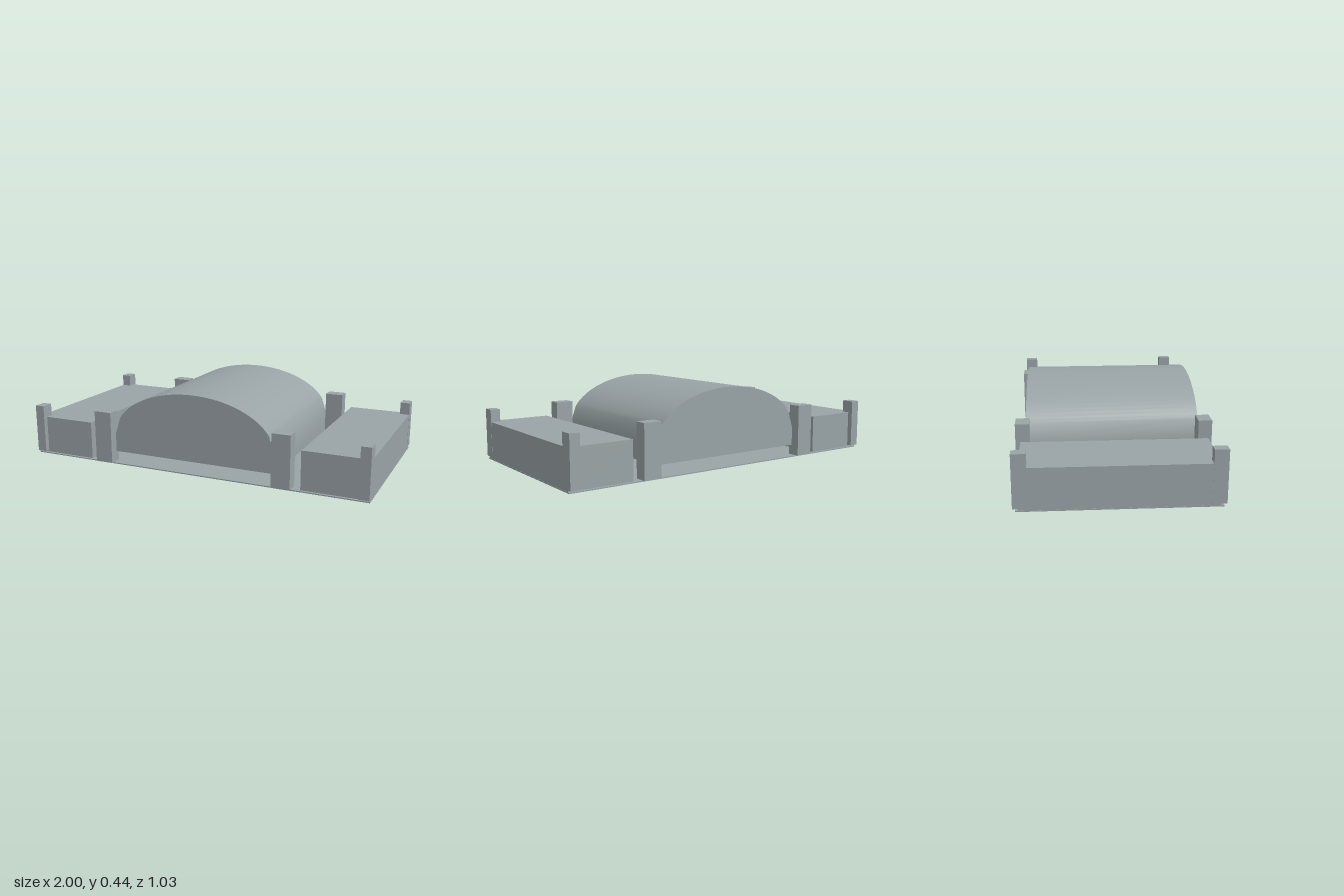
import * as THREE from 'three';
import { toCreasedNormals } from 'three/addons/utils/BufferGeometryUtils.js';

export function createModel() {
  const model = new THREE.Group();
  const grey = new THREE.MeshStandardMaterial({ color: 0x99a3a6 });
  grey.name = 'grey';

  // Box given by its min and max on each axis
  function box(name, [x0, x1], [y0, y1], [z0, z1]) {
    const mesh = new THREE.Mesh(new THREE.BoxGeometry(x1 - x0, y1 - y0, z1 - z0), grey);
    mesh.position.set((x0 + x1) / 2, (y0 + y1) / 2, (z0 + z1) / 2);
    mesh.name = name;
    model.add(mesh);
  }
  const span = (side, a, b) => (side > 0 ? [a, b] : [-b, -a]);

  // Thin ground slab
  box('basePlate', [-1, 1], [0, 0.006], [-0.5, 0.5]);

  for (const sx of [1, -1]) {
    // Low side blocks
    box('sideBlock', span(sx, 0.635, 0.999), [0.005, 0.22], [-0.486, 0.486]);
    for (const sz of [1, -1]) {
      // Posts beside the vault and at the outer corners
      box('innerPost', span(sx, 0.483, 0.587), [0.005, 0.3], span(sz, 0.442, 0.514));
      box('cornerPost', span(sx, 0.945, 1), [0.015, 0.29], span(sz, 0.442, 0.514));
    }
  }

  // Raised vault: straight walls below a half-elliptical roof
  const halfWidth = 0.483, spring = 0.167, rise = 0.272, halfDepth = 0.463;
  const points = [new THREE.Vector2(-halfWidth, 0.063), new THREE.Vector2(halfWidth, 0.063),
    new THREE.Vector2(halfWidth, spring)];
  const first = 0.37, steps = 32;
  for (let i = 0; i <= steps; i++) {
    const a = first + (Math.PI - 2 * first) * i / steps;
    points.push(new THREE.Vector2(halfWidth * Math.cos(a), spring + rise * Math.sin(a)));
  }
  points.push(new THREE.Vector2(-halfWidth, spring));
  const geometry = new THREE.ExtrudeGeometry(new THREE.Shape(points),
    { depth: 2 * halfDepth, bevelEnabled: false });
  geometry.translate(0, 0, -halfDepth);
  const vault = new THREE.Mesh(toCreasedNormals(geometry, 0.6), grey);
  vault.name = 'vault';
  model.add(vault);

  return model;
}
